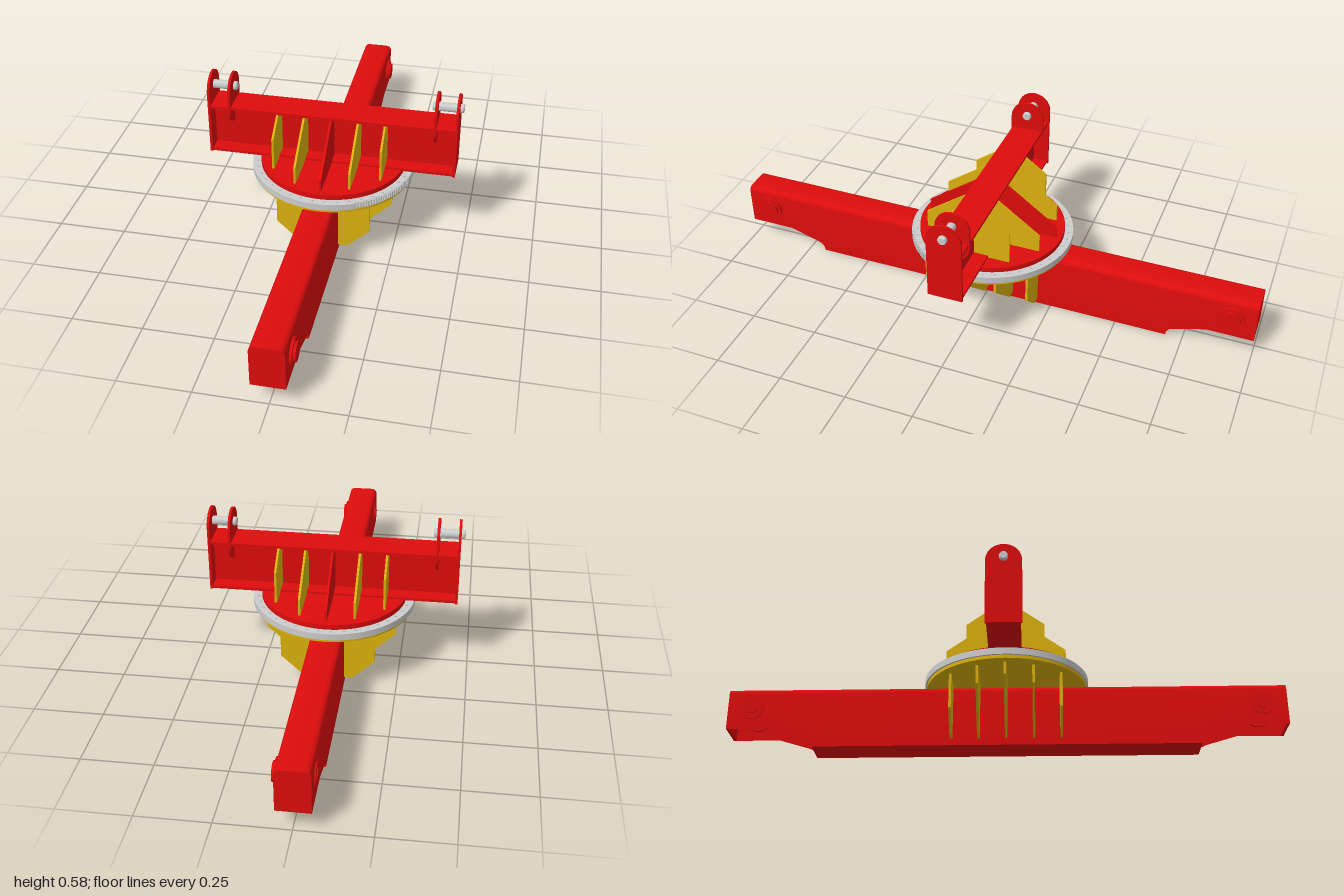
import * as THREE from 'three';
import { toCreasedNormals } from 'three/addons/utils/BufferGeometryUtils.js';

const mat = (color) => new THREE.MeshStandardMaterial({ color });
const red = mat(0xdd0c0c), yellow = mat(0xdbb10d), grey = mat(0xcccccc);
const redShell = mat(0xdd0c0c);
redShell.side = THREE.DoubleSide;

const shapeOf = (pts) => new THREE.Shape(pts.map(([x, y]) => new THREE.Vector2(x, y)));

// Flat plate cut from a shape, centred on its own thickness
function plateGeo(shape, t) {
  return new THREE.ExtrudeGeometry(shape, { depth: t, bevelEnabled: false, curveSegments: 20 }).translate(0, 0, -t / 2);
}

export function createModel() {
  const model = new THREE.Group();

  function add(parent, name, geo, material, x = 0, y = 0, z = 0) {
    const m = new THREE.Mesh(geo, material);
    m.name = name;
    m.position.set(x, y, z);
    parent.add(m);
    return m;
  }
  function group(name) {
    const g = new THREE.Group();
    g.name = name;
    model.add(g);
    return g;
  }
  const box = (p, name, m, w, h, d, x, y, z) => add(p, name, new THREE.BoxGeometry(w, h, d), m, x, y, z);
  const disc = (p, name, m, r, y0, y1) =>
    add(p, name, new THREE.CylinderGeometry(r, r, y1 - y0, 72), m, 0, (y0 + y1) / 2, 0);

  // Lower beam: a folded shell with shallow ends that are open underneath
  const lower = group('lowerBeam');
  lower.position.x = -0.0025;
  const W = 0.0575, TOP = 0.226, R = 0.02;
  const ends = [[1, 0.07], [0.83, 0.07], [0.72, 0.037], [0.7, 0.028], [0.691, 0.015], [0.688, 0]];
  const stations = [...ends.map(([z, b]) => [-z, b]), ...ends.slice().reverse()];
  const section = (b) => {
    const pts = [[-W, b]];
    for (let i = 0; i <= 5; i++) {
      const a = Math.PI - (i / 5) * Math.PI / 2;
      pts.push([-W + R + R * Math.cos(a), TOP - R + R * Math.sin(a)]);
    }
    return [...pts, ...pts.map(([x, y]) => [-x, y]).reverse()];
  };
  const pos = [], idx = [], n = section(0).length;
  stations.forEach(([z, b], i) => {
    section(b).forEach(([x, y], j) => {
      pos.push(x, y, z);
      if (i < stations.length - 1 && j < n - 1) {
        const a = i * n + j, c = a + n;
        idx.push(a, c, a + 1, a + 1, c, c + 1);
      }
    });
  });
  const shell = new THREE.BufferGeometry();
  shell.setAttribute('position', new THREE.Float32BufferAttribute(pos, 3));
  shell.setIndex(idx);
  add(lower, 'beamShell', toCreasedNormals(shell, 0.6), redShell);
  box(lower, 'bottomPlate', red, 2 * W, 0.01, 1.376, 0, 0.005, 0);
  for (const s of [-1, 1]) {
    const cap = section(0.07);
    add(lower, 'endPlate', plateGeo(shapeOf(cap), 0.01), red, 0, 0, s * 0.994);
    box(lower, 'bulkhead', red, 2 * W - 0.002, 0.2, 0.008, 0, 0.102, s * 0.683);
    // Cross pin with a collar on the left and a smaller head on the right
    const rod = (name, r, x0, x1) =>
      add(lower, name, new THREE.CylinderGeometry(r, r, x1 - x0, 32).rotateZ(Math.PI / 2), red, (x0 + x1) / 2, 0.15, s * 0.912);
    rod('pinCollar', 0.046, 0.05, 0.066);
    rod('pinEnd', 0.033, 0.05, 0.075);
    rod('pinCollar', 0.042, -0.062, -0.05);
    rod('pinEnd', 0.022, -0.066, -0.05);
  }

  // Slewing bearing stack
  const turntable = group('turntable');
  disc(turntable, 'bearingSeat', yellow, 0.29, 0.228, 0.241);
  disc(turntable, 'topPlate', red, 0.266, 0.241, 0.283);

  // Gear ring, toothed over one sector
  const ringPts = [];
  const polar = (r, deg) => [r * Math.cos(deg * Math.PI / 180), r * Math.sin(deg * Math.PI / 180)];
  for (let d = 12; d < 64; d += 2) {
    ringPts.push(polar(0.297, d), polar(0.297, d + 0.8), polar(0.289, d + 1.1), polar(0.289, d + 1.8));
  }
  for (let d = 64; d < 372; d += 4) ringPts.push(polar(0.297, d));
  const ring = shapeOf(ringPts);
  ring.holes.push(new THREE.Path().absarc(0, 0, 0.262, 0, Math.PI * 2, true));
  add(turntable, 'gearRing', toCreasedNormals(plateGeo(ring, 0.024).rotateX(Math.PI / 2), 0.3), grey, 0, 0.252, 0);
  for (let i = 0; i < 40; i++) {
    const [x, z] = polar(0.278, i * 9 + 4.5);
    add(turntable, 'ringBolt', new THREE.CylinderGeometry(0.005, 0.005, 0.004, 8), grey, x, 0.265, z);
  }

  // Yellow cross ribs under the bearing, narrowing with the disc
  const lowerRibs = group('lowerRibs');
  [[0, 0.26], [0.098, 0.235], [0.195, 0.17]].forEach(([z, w]) => {
    const y = 0.025 + (w - 0.09) * 0.93;
    const geo = plateGeo(shapeOf([[-0.09, 0.025], [0.09, 0.025], [w, y], [w, 0.23], [-w, 0.23], [-w, y]]), 0.009);
    for (const s of z ? [-1, 1] : [1]) add(lowerRibs, 'lowerRib', geo, yellow, 0, 0, s * z);
  });

  // Upper I-beam
  const upper = group('upperBeam');
  box(upper, 'topFlange', red, 0.9, 0.01, 0.116, 0, 0.465, 0);
  box(upper, 'bottomFlange', red, 0.9, 0.01, 0.116, 0, 0.286, 0);
  box(upper, 'web', red, 0.9, 0.17, 0.01, 0, 0.375, 0);

  // Gussets between the beam and the turntable, red in the middle
  [[0, 0.245, red], [0.098, 0.215, yellow], [0.195, 0.138, yellow]].forEach(([x, r, m]) => {
    const y = 0.46 - (r - 0.06) * 0.72;
    const pts = [[-r, 0.282], [r, 0.282], [r, y], [0.06, 0.46], [-0.06, 0.46], [-r, y]];
    const geo = plateGeo(shapeOf(pts), 0.008).rotateY(-Math.PI / 2);
    for (const s of x ? [-1, 1] : [1]) add(upper, 'gusset', geo, m, s * x, 0, 0);
  });

  // End plates, inner lugs and their pins
  const L = 0.063;
  const endShape = shapeOf([[-L, 0.28], [L, 0.28]]);
  endShape.absarc(0, 0.582 - L, L, 0, Math.PI, false);
  const lugShape = new THREE.Shape();
  lugShape.absarc(0, 0.392 + L, L, Math.PI, Math.PI * 2, false);
  lugShape.absarc(0, 0.582 - L, L, 0, Math.PI, false);
  const lugGeo = (shape, t) => toCreasedNormals(plateGeo(shape, t).rotateY(-Math.PI / 2), 0.5);
  const pinProfile = [[0, -0.056], [0.013, -0.056], [0.016, -0.052], [0.016, 0.052], [0.013, 0.056], [0, 0.056]];
  const pinGeo = toCreasedNormals(
    new THREE.LatheGeometry(pinProfile.map(([r, y]) => new THREE.Vector2(r, y)), 24).rotateZ(Math.PI / 2), 0.5);
  for (const s of [-1, 1]) {
    add(upper, 'endLug', lugGeo(endShape, 0.009), red, s * 0.4475, 0, 0);
    add(upper, 'innerLug', lugGeo(lugShape, 0.009), red, s * 0.372, 0, 0);
    add(upper, 'lugPin', pinGeo, grey, s * 0.41, 0.531, 0);
  }
  return model;
}
